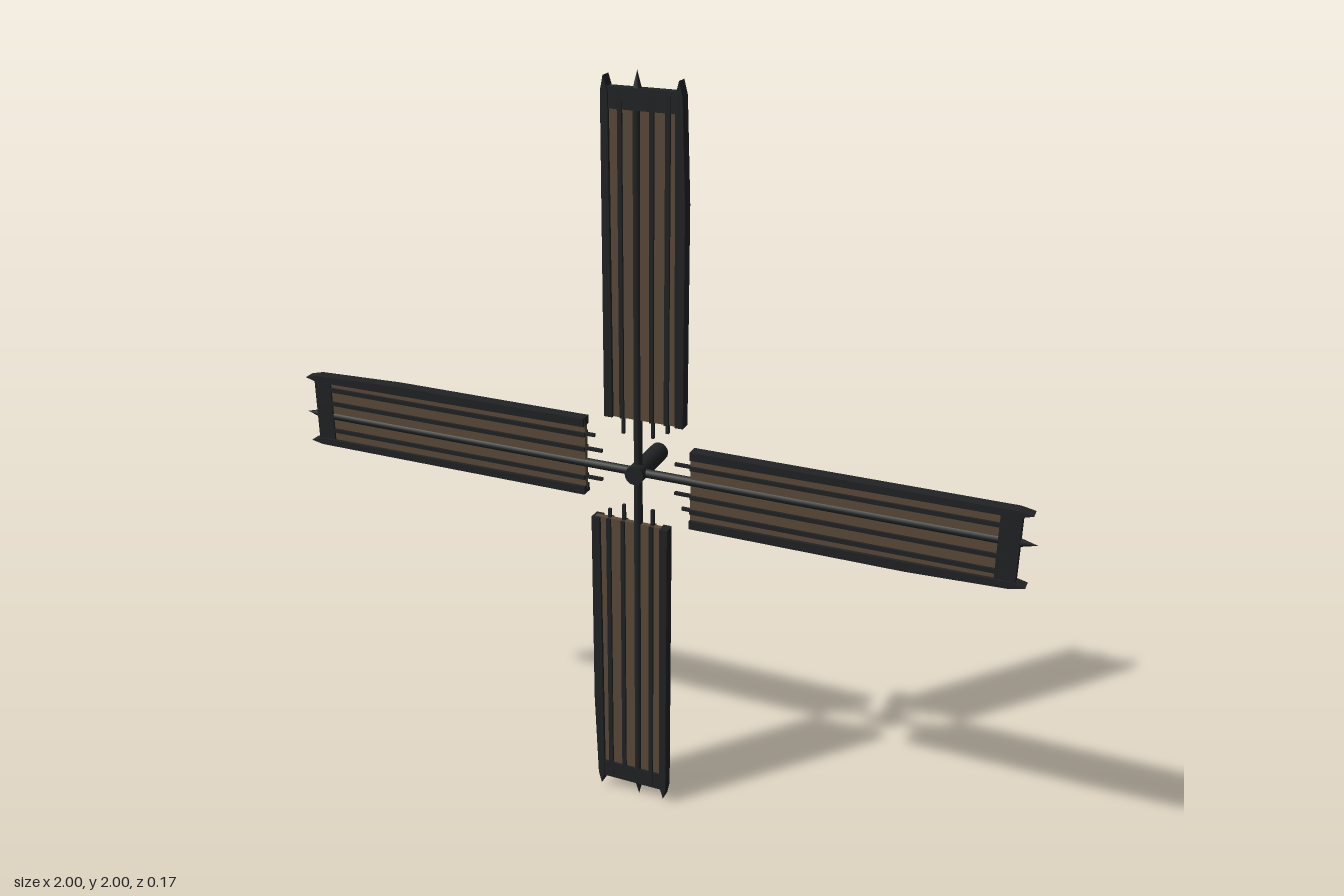
import * as THREE from 'three';

const SAIL_Z = 0.054; // middle plane of the sails

export function createModel() {
  const cloth = new THREE.MeshStandardMaterial({ color: 0x5c4a3a });
  cloth.name = 'brown cloth';
  const wood = new THREE.MeshStandardMaterial({ color: 0x212324 });
  wood.name = 'dark wood';

  // Flat outline in the sail plane, thickened evenly to both sides
  const slab = (name, points, depth, material) => {
    const shape = new THREE.Shape(points.map(([x, y]) => new THREE.Vector2(x, y)));
    const geometry = new THREE.ExtrudeGeometry(shape, { depth, bevelEnabled: false });
    geometry.translate(0, 0, -depth / 2);
    const mesh = new THREE.Mesh(geometry, material);
    mesh.name = name;
    return mesh;
  };
  // Straight rectangular batten along the sail
  const bar = (name, x, y0, y1, width, depth) => {
    const mesh = new THREE.Mesh(new THREE.BoxGeometry(width, y1 - y0, depth), wood);
    mesh.position.set(x, (y0 + y1) / 2, 0);
    mesh.name = name;
    return mesh;
  };

  // One sail pointing up from the hub
  const createSail = () => {
    const sail = new THREE.Group();

    sail.add(slab('sailCloth', [
      [-0.08, 0.145], [0.12, 0.145], [0.12, 0.7], [0.112, 0.84], [0.1, 0.945], [-0.08, 0.945],
    ], 0.014, cloth));

    // Edge rails, pointed at the outer end; the trailing one bends inwards
    sail.add(slab('leadingRail', [
      [-0.086, 0.145], [-0.064, 0.145], [-0.068, 0.95], [-0.079, 0.985], [-0.086, 0.95],
    ], 0.032, wood));
    sail.add(slab('trailingRail', [
      [0.104, 0.145], [0.126, 0.145], [0.126, 0.7], [0.121, 0.84], [0.117, 0.95],
      [0.108, 0.985], [0.099, 0.95], [0.1, 0.84],
    ], 0.032, wood));

    // Battens that stick out towards the hub
    for (const [x, start, width] of [[-0.04, 0.1, 0.011], [0.04, 0.1, 0.011], [0.08, 0.12, 0.012]]) {
      sail.add(bar('battenEnd', x, start, 0.15, 0.008, 0.008));
      sail.add(bar('batten', x, 0.145, 0.95, width, 0.026));
    }

    // Band across the outer end
    sail.add(slab('endBand', [
      [-0.08, 0.91], [0.108, 0.91], [0.104, 0.96], [-0.08, 0.96],
    ], 0.024, wood));

    // Main spar with its pointed tip
    const spar = new THREE.Mesh(new THREE.CylinderGeometry(0.012, 0.012, 0.955, 8), wood);
    spar.position.y = 0.4775;
    spar.name = 'spar';
    const tip = new THREE.Mesh(new THREE.ConeGeometry(0.012, 0.045, 8), wood);
    tip.position.y = 0.9775;
    tip.name = 'sparTip';
    sail.add(spar, tip);
    return sail;
  };

  const model = new THREE.Group();
  model.name = 'windmillSails';

  for (let i = 0; i < 4; i++) {
    const sail = createSail();
    sail.name = `sail${i + 1}`;
    sail.position.set(0, 1, SAIL_Z);
    sail.rotation.z = i * Math.PI / 2;
    model.add(sail);
  }

  // Axle through the hub
  const axle = new THREE.Mesh(new THREE.CylinderGeometry(0.025, 0.025, 0.165, 16), wood);
  axle.rotation.x = Math.PI / 2;
  axle.position.y = 1;
  axle.name = 'axle';
  model.add(axle);

  return model;
}
